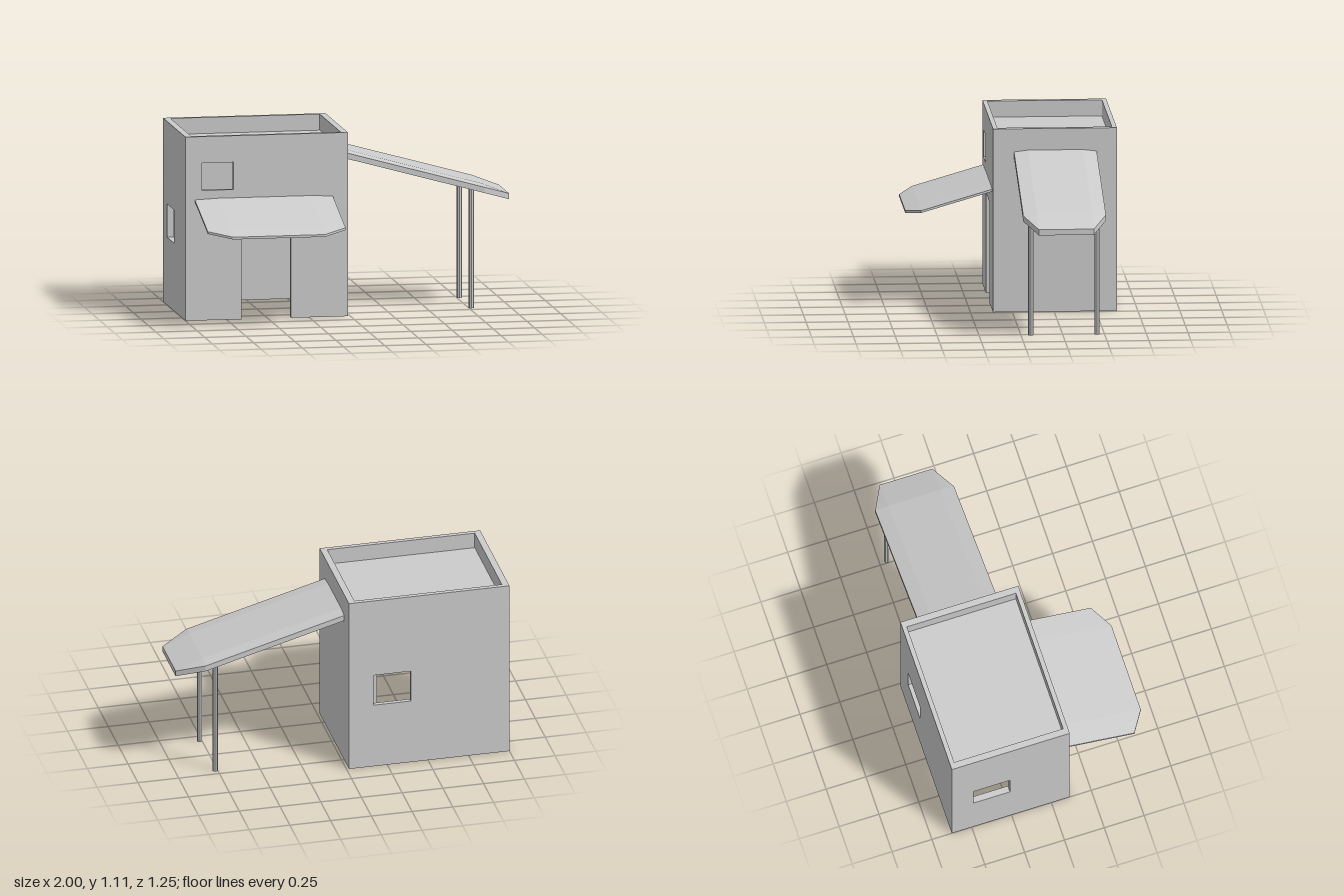
import * as THREE from 'three';

const grey = (opts = {}) => new THREE.MeshStandardMaterial({ color: 0xcccccc, flatShading: true, ...opts });

function add(parent, name, geometry, x = 0, y = 0, z = 0) {
  const mesh = new THREE.Mesh(geometry, grey());
  mesh.name = name;
  mesh.position.set(x, y, z);
  parent.add(mesh);
  return mesh;
}

// Upright wall panel from x0 to x1, with rectangular window holes and an optional doorway
function wallPanel(x0, x1, height, depth, windows = [], door = null) {
  const shape = new THREE.Shape();
  shape.moveTo(x0, 0);
  if (door) {
    shape.lineTo(door.x0, 0);
    shape.lineTo(door.x0, door.top);
    shape.lineTo(door.x1, door.top);
    shape.lineTo(door.x1, 0);
  }
  shape.lineTo(x1, 0);
  shape.lineTo(x1, height);
  shape.lineTo(x0, height);
  shape.closePath();
  for (const [a, b, c, d] of windows) {
    const hole = new THREE.Path();
    hole.moveTo(a, c);
    hole.lineTo(a, d);
    hole.lineTo(b, d);
    hole.lineTo(b, c);
    hole.closePath();
    shape.holes.push(hole);
  }
  return new THREE.ExtrudeGeometry(shape, { depth, bevelEnabled: false });
}

// Sloping slab running along +x: folded-down side strips and a chamfered, drooping tip.
// stations: three [distance, height] pairs (wall, chamfer start, tip)
function canopySlab(stations, halfWidth, halfFlat, droop, thickness) {
  const top = [];
  stations.forEach(([u, y], i) => {
    if (i < 2) top.push([u, y - droop, -halfWidth]);
    top.push([u, y, -halfFlat], [u, y, halfFlat]);
    if (i < 2) top.push([u, y - droop, halfWidth]);
  });
  const n = top.length;
  const points = [...top, ...top.map(([x, y, z]) => [x, y - thickness, z])];
  const faces = [[0, 1, 5, 4], [1, 2, 6, 5], [2, 3, 7, 6], [4, 5, 8], [5, 6, 9, 8], [6, 7, 9]];
  const rim = [0, 1, 2, 3, 7, 9, 8, 4];
  const index = [];
  const face = (f) => { for (let i = 1; i < f.length - 1; i++) index.push(f[0], f[i], f[i + 1]); };
  for (const f of faces) {
    face(f);
    face(f.map((i) => i + n).reverse());
  }
  rim.forEach((a, i) => {
    const b = rim[(i + 1) % rim.length];
    face([a + n, b + n, b, a]);
  });
  const geometry = new THREE.BufferGeometry();
  geometry.setAttribute('position', new THREE.Float32BufferAttribute(points.flat(), 3));
  geometry.setIndex(index);
  const flat = geometry.toNonIndexed();
  flat.computeVertexNormals();
  return flat;
}

export function createModel() {
  const model = new THREE.Group();
  model.name = 'houseWithCanopies';

  // Hollow house body, open underneath
  const left = -0.015, right = -1, front = 0.115, back = -0.625, height = 1.11;
  const tx = 0.04, tz = 0.028;
  const house = new THREE.Group();
  house.name = 'house';
  model.add(house);

  add(house, 'frontWall',
    wallPanel(right, left, height, tz, [[-0.9, -0.71, 0.785, 0.95]], { x0: -0.66, x1: -0.36, top: 0.61 }),
    0, 0, front - tz);
  add(house, 'backWall', wallPanel(right, left, height, tz, [[-0.395, -0.165, 0.41, 0.61]]), 0, 0, back);

  // Side walls are drawn along -z, then turned to stand along the depth
  const s0 = -(front - tz), s1 = -(back + tz);
  const rightWall = add(house, 'rightWall', wallPanel(s0, s1, height, tx, [[0.26, 0.49, 0.41, 0.61]]), right);
  const leftWall = add(house, 'leftWall', wallPanel(s0, s1, height, tx), left - tx);
  for (const wall of [rightWall, leftWall]) wall.rotation.y = Math.PI / 2;

  // Flat roof sunk below the parapet
  add(house, 'roof', new THREE.BoxGeometry(left - right - 2 * tx, 0.015, front - back - 2 * tz),
    (left + right) / 2, 1.005, (front + back) / 2);

  // Long side canopy on two posts
  const sideCanopy = new THREE.Group();
  sideCanopy.name = 'sideCanopy';
  model.add(sideCanopy);
  const sideZ = -0.257;
  add(sideCanopy, 'sideCanopyRoof',
    canopySlab([[left, 0.98], [0.835, 0.745], [1, 0.68]], 0.247, 0.165, 0.01, 0.035), 0, 0, sideZ);
  for (const side of [-1, 1]) {
    const post = new THREE.CylinderGeometry(0.016, 0.016, 0.725, 8);
    add(sideCanopy, 'canopyPost', post, 0.765, 0.3625, sideZ + side * 0.198);
  }

  // Awning over the front doorway
  const awning = add(model, 'frontAwning',
    canopySlab([[front, 0.735], [0.54, 0.61], [0.625, 0.58]], 0.418, 0.28, 0.006, 0.014), -0.525);
  awning.rotation.y = -Math.PI / 2;

  return model;
}
